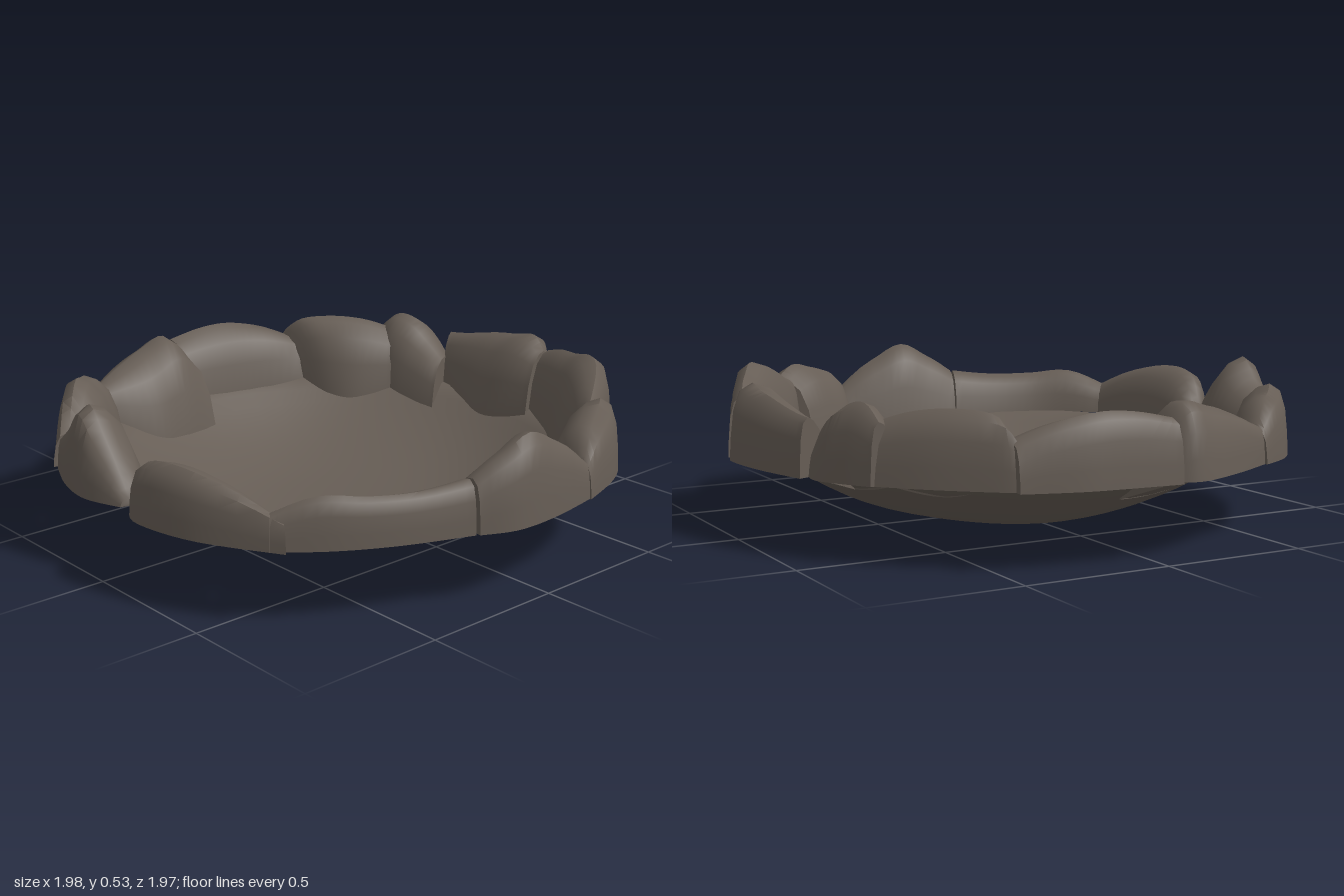
import * as THREE from 'three';
import { toCreasedNormals } from 'three/addons/utils/BufferGeometryUtils.js';

const rock = new THREE.MeshStandardMaterial({ color: 0x665d55, side: THREE.DoubleSide });
rock.name = 'brown grey rock';

const bowlHeight = (r) => Math.min(0.25, 0.006 + 0.41 * Math.pow(r, 2.6));

// Plan line through [x, z] points, lengthened a little at both ends so that stones meet
function planLine(pts) {
  const p = pts.map(([x, z]) => new THREE.Vector2(x, z));
  const n = p.length - 1;
  const first = p[0].clone().lerp(p[1], -0.1);
  const last = p[n].clone().lerp(p[n - 1], -0.1);
  return new THREE.SplineCurve([first, ...p.slice(1, n), last]);
}

// Cross-section of a stone: [0 = outer side .. 1 = inner side, 0 = base .. 1 = top]
const SECTION = [[0, 0], [0.02, 0.3], [0.06, 0.64], [0.15, 0.9], [0.32, 1], [0.52, 0.95], [0.74, 0.78], [0.9, 0.45], [1, 0]];
const STEPS = 16;

// A hollow stone, open below, swept between its outer and inner plan lines
function stone(name, outer, inner, tops) {
  const outerLine = planLine(outer);
  const innerLine = planLine(inner);
  const topLine = new THREE.SplineCurve(tops.map((h, i) => new THREE.Vector2(i, h)));
  const n = SECTION.length;
  const pos = [];
  const index = [];
  for (let i = 0; i <= STEPS; i++) {
    const t = i / STEPS;
    const a = outerLine.getPoint(t);
    const b = innerLine.getPoint(t);
    const top = topLine.getPoint(t).y;
    const innerBase = bowlHeight(b.length());
    SECTION.forEach(([u, v]) => {
      const x = a.x + (b.x - a.x) * u;
      const z = a.y + (b.y - a.y) * u;
      const base = 0.25 + (innerBase - 0.25) * u;
      const bump = 0.006 * v * Math.sin(x * 17 + z * 11);
      pos.push(x, base + (top - base) * v + bump, z);
    });
  }
  for (let i = 0; i < STEPS; i++) {
    for (let j = 0; j < n - 1; j++) {
      const a = i * n + j, b = a + n;
      index.push(a, b, b + 1, a, b + 1, a + 1);
    }
  }
  // End faces
  const last = STEPS * n;
  for (let j = 1; j < n - 1; j++) {
    index.push(0, j, j + 1, last, last + j + 1, last + j);
  }
  const geometry = new THREE.BufferGeometry();
  geometry.setAttribute('position', new THREE.Float32BufferAttribute(pos, 3));
  geometry.setIndex(index);
  const mesh = new THREE.Mesh(toCreasedNormals(geometry, 0.8), rock);
  mesh.name = name;
  return mesh;
}

// Shallow thin dish with a slightly uneven surface, reaching under the stones
function dish() {
  const profile = [];
  for (let i = 0; i <= 16; i++) {
    const r = 0.88 * i / 16;
    profile.push(new THREE.Vector2(r, bowlHeight(r)));
  }
  const geometry = new THREE.LatheGeometry(profile, 48);
  const p = geometry.attributes.position;
  for (let i = 0; i < p.count; i++) {
    const x = p.getX(i), z = p.getZ(i);
    p.setY(i, p.getY(i) + 0.006 * Math.sin(x * 7 + 1) * Math.sin(z * 6 + 2) * Math.min(1, Math.hypot(x, z) * 3));
  }
  geometry.computeVertexNormals();
  const mesh = new THREE.Mesh(geometry, rock);
  mesh.name = 'dish';
  return mesh;
}

export function createModel() {
  const group = new THREE.Group();
  group.name = 'stoneRingedDish';
  group.add(dish());

  // Rim stones, going round from the back over the right side to the front
  group.add(
    stone('backStone',
      [[0.15, -0.95], [0.1, -0.985], [-0.1, -0.97], [-0.31, -0.92]],
      [[0.17, -0.77], [0.0, -0.74], [-0.14, -0.77], [-0.27, -0.8]],
      [0.46, 0.51, 0.48, 0.46, 0.44]),
    stone('backRightStone',
      [[-0.32, -0.88], [-0.39, -0.885], [-0.48, -0.84], [-0.56, -0.79]],
      [[-0.23, -0.68], [-0.34, -0.66], [-0.47, -0.65], [-0.56, -0.69]],
      [0.36, 0.42, 0.48, 0.49, 0.44]),
    stone('rightBackStone',
      [[-0.56, -0.78], [-0.7, -0.65], [-0.84, -0.49], [-0.88, -0.43]],
      [[-0.43, -0.64], [-0.5, -0.53], [-0.58, -0.47], [-0.69, -0.43]],
      [0.43, 0.47, 0.48, 0.46, 0.38]),
    stone('rightStone',
      [[-0.9, -0.44], [-0.95, -0.28], [-0.97, -0.15], [-0.99, 0.04]],
      [[-0.7, -0.42], [-0.75, -0.25], [-0.78, -0.1], [-0.8, 0.03]],
      [0.4, 0.45, 0.47, 0.47, 0.45]),
    stone('rightFrontStone',
      [[-0.96, 0.07], [-0.98, 0.15], [-0.91, 0.33], [-0.82, 0.5]],
      [[-0.67, 0.05], [-0.65, 0.18], [-0.64, 0.32], [-0.71, 0.5]],
      [0.4, 0.49, 0.46, 0.42, 0.37]),
    stone('frontRightStone',
      [[-0.82, 0.52], [-0.76, 0.63], [-0.66, 0.73], [-0.46, 0.88]],
      [[-0.67, 0.47], [-0.59, 0.51], [-0.5, 0.59], [-0.42, 0.69]],
      [0.37, 0.44, 0.46, 0.48, 0.36]),
    stone('frontPeakStone',
      [[-0.4, 0.9], [-0.27, 0.955], [-0.12, 0.98], [0.01, 0.94]],
      [[-0.4, 0.79], [-0.26, 0.73], [-0.12, 0.74], [0.03, 0.83]],
      [0.36, 0.44, 0.53, 0.42, 0.28]),
    stone('frontLeftStone',
      [[0.06, 0.92], [0.16, 0.975], [0.4, 0.93], [0.64, 0.8]],
      [[0.04, 0.8], [0.2, 0.79], [0.36, 0.76], [0.53, 0.73]],
      [0.3, 0.42, 0.45, 0.43, 0.34]),
    stone('leftFrontStone',
      [[0.63, 0.8], [0.74, 0.66], [0.84, 0.48], [0.92, 0.28]],
      [[0.54, 0.72], [0.65, 0.58], [0.72, 0.42], [0.77, 0.23]],
      [0.36, 0.41, 0.4, 0.4, 0.42]),
    stone('leftPeakStone',
      [[0.94, 0.24], [0.985, 0.13], [0.985, -0.04], [0.955, -0.23]],
      [[0.77, 0.19], [0.78, 0.07], [0.8, -0.08], [0.84, -0.23]],
      [0.42, 0.48, 0.53, 0.46, 0.36]),
    stone('leftBackStone',
      [[0.955, -0.25], [0.9, -0.41], [0.83, -0.53], [0.73, -0.63]],
      [[0.82, -0.24], [0.73, -0.27], [0.67, -0.36], [0.63, -0.46]],
      [0.36, 0.45, 0.47, 0.48, 0.45]),
    stone('backLeftStone',
      [[0.7, -0.57], [0.58, -0.79], [0.4, -0.88], [0.19, -0.96]],
      [[0.61, -0.53], [0.5, -0.58], [0.34, -0.71], [0.18, -0.8]],
      [0.44, 0.5, 0.53, 0.49, 0.46]),
  );
  return group;
}
